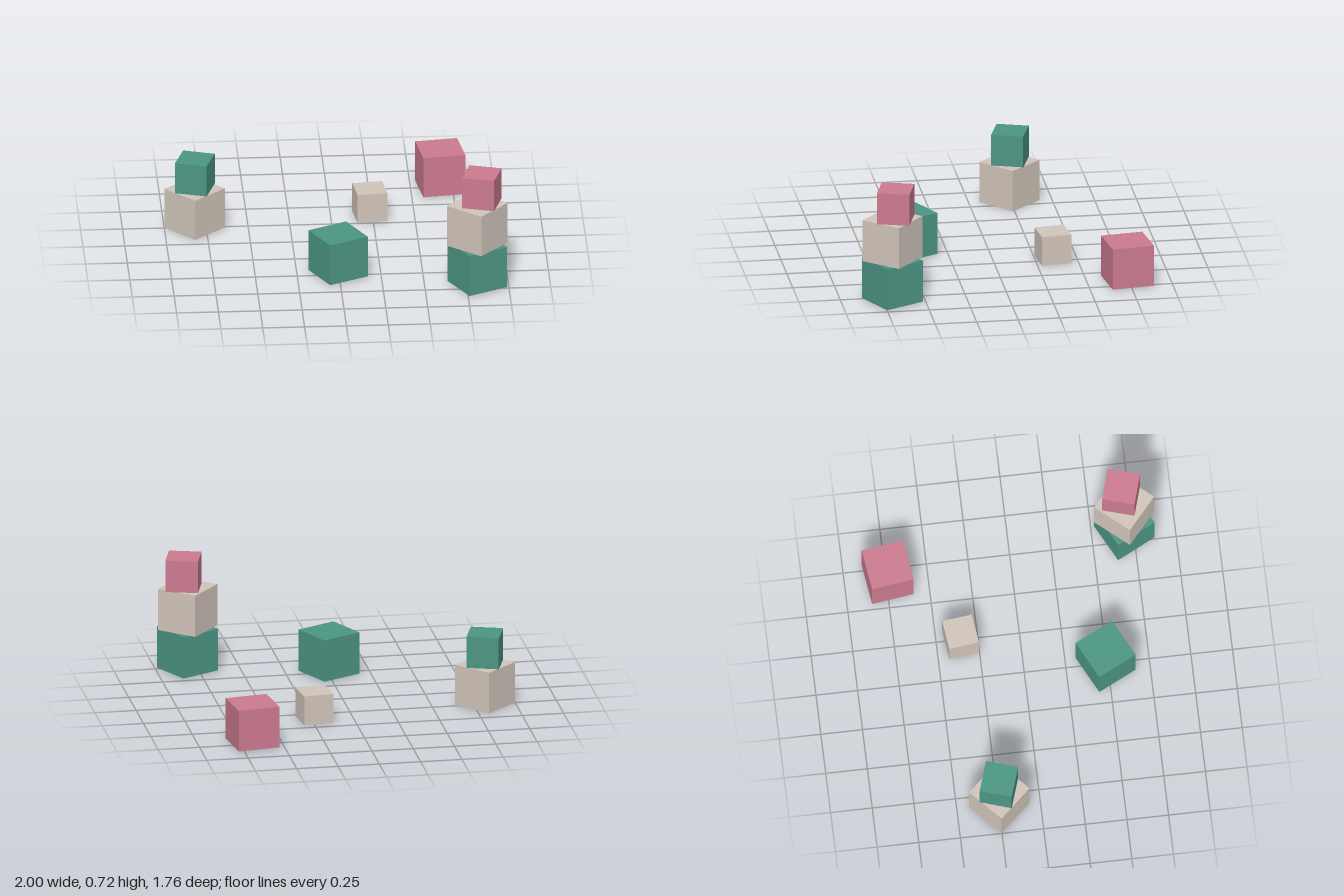
import * as THREE from 'three';

export function createModel() {
  const model = new THREE.Group();
  model.name = 'toyBlocks';

  const material = (name, color) => {
    const m = new THREE.MeshStandardMaterial({ color });
    m.name = name;
    return m;
  };
  const green = material('green', 0x4c9583);
  const beige = material('beige', 0xd0c4ba);
  const pink = material('pink', 0xcb7a8f);

  // A cube with its underside at the given height, turned about the vertical
  const addBlock = (parent, name, mat, size, x, bottom, z, turn) => {
    const block = new THREE.Mesh(new THREE.BoxGeometry(size, size, size), mat);
    block.name = name;
    block.position.set(x, bottom + size / 2, z);
    block.rotation.y = turn;
    parent.add(block);
  };
  const addStack = (name) => {
    const stack = new THREE.Group();
    stack.name = name;
    model.add(stack);
    return stack;
  };

  // Stack of three
  const tall = addStack('tallStack');
  addBlock(tall, 'bottomBlock', green, 0.26, 0.814, 0.012, 0.695, 0.475);
  addBlock(tall, 'middleBlock', beige, 0.258, 0.814, 0.272, 0.695, 0.86);
  addBlock(tall, 'topBlock', pink, 0.196, 0.842, 0.531, 0.68, -0.29);

  // Stack of two
  const short = addStack('shortStack');
  addBlock(short, 'bottomBlock', beige, 0.255, -0.819, 0.005, -0.245, 0.744);
  addBlock(short, 'topBlock', green, 0.195, -0.8175, 0.26, -0.2475, -0.314);

  // Loose blocks
  addBlock(model, 'greenBlock', green, 0.259, -0.005, 0.012, 0.488, 0.464);
  addBlock(model, 'pinkBlock', pink, 0.255, 0.677, 0.01, -0.741, 0.135);
  addBlock(model, 'smallBlock', beige, 0.181, 0.234, 0.006, -0.355, 0.12);

  return model;
}
